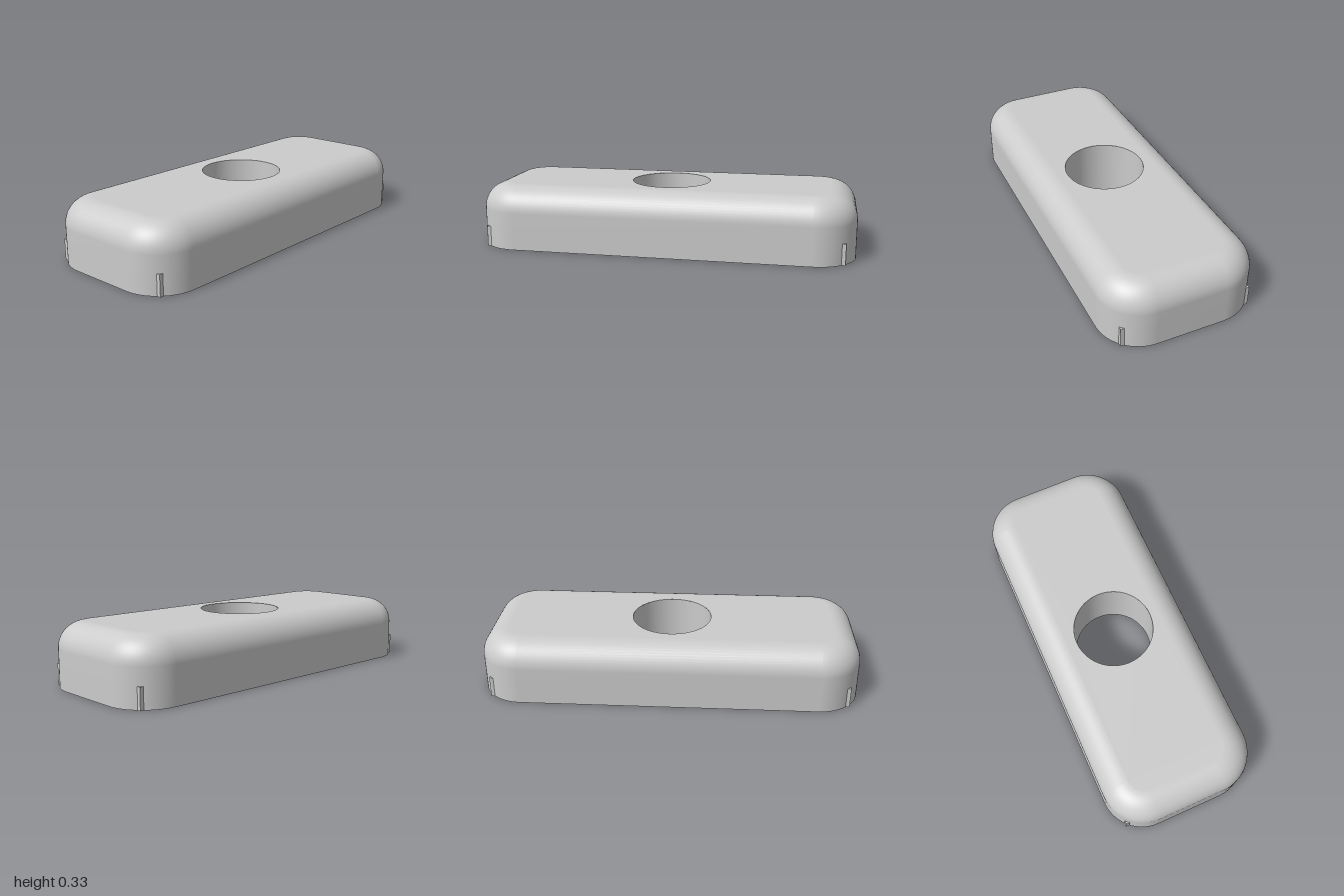
import * as THREE from 'three';
import { toCreasedNormals } from 'three/addons/utils/BufferGeometryUtils.js';

const W = 0.4, L = 1, H = 0.333;          // half width, half length, height
const R = 0.22, F = 0.135;                // corner radius, top edge fillet
const PX = 0.345, PZ = 0.945, PH = 0.11;  // base plate half sizes and height
const BORE = 0.212, PIN = 0.077, PIN_Z = 0.6;
const CX = W - R, CZ = L - R;             // corner arc centres

// Rounded rectangle outline, moved inward by the given inset
function outline(inset, steps = 16) {
  const pts = [];
  [[1, 1], [-1, 1], [-1, -1], [1, -1]].forEach(([sx, sz], q) => {
    for (let i = 0; i <= steps; i++) {
      const a = (q + i / steps) * Math.PI / 2;
      pts.push(new THREE.Vector2(sx * CX + (R - inset) * Math.cos(a), sz * CZ + (R - inset) * Math.sin(a)));
    }
  });
  return pts;
}

const circle = (r, y = 0) => new THREE.Path().absarc(0, y, r, 0, Math.PI * 2, true);

// Side wall and rounded top edge, lofted through stacked outlines
function shellGeometry() {
  const levels = [[0, 0], [0, 0.1]];
  const n = 14;
  for (let i = 0; i <= n; i++) {
    const a = i / n * Math.PI / 2;
    levels.push([F * (1 - Math.cos(a)), H - F + F * Math.sin(a)]);
  }
  const pos = [], idx = [];
  let count = 0;
  levels.forEach(([inset, y], j) => {
    const ring = outline(inset);
    count = ring.length;
    ring.forEach((p, i) => {
      pos.push(p.x, y, p.y);
      if (j === levels.length - 1) return;
      const a = j * count + i, b = j * count + (i + 1) % count;
      idx.push(a, a + count, b, b, a + count, b + count);
    });
  });
  const g = new THREE.BufferGeometry();
  g.setAttribute('position', new THREE.Float32BufferAttribute(pos, 3));
  g.setIndex(idx);
  g.computeVertexNormals();
  return g;
}

export function createModel() {
  const model = new THREE.Group();
  model.name = 'roundedBlock';
  const grey = new THREE.MeshStandardMaterial({ color: 0xcccccc });
  const open = new THREE.MeshStandardMaterial({ color: 0xcccccc, side: THREE.DoubleSide });
  const add = (name, geometry, material = grey) => {
    const mesh = new THREE.Mesh(geometry, material);
    mesh.name = name;
    model.add(mesh);
    return mesh;
  };

  add('bodyShell', shellGeometry());

  // Flat top with the central opening
  const top = new THREE.Shape(outline(F));
  top.holes.push(circle(BORE));
  add('topFace', new THREE.ShapeGeometry(top, 64).rotateX(-Math.PI / 2)).position.y = H;

  // Wall of the central opening above the plate
  add('centreBore', new THREE.CylinderGeometry(BORE, BORE, H - PH, 64, 1, true), open)
    .position.y = (H + PH) / 2;

  // Square-cornered base plate, its corners showing through the rounded walls
  const plate = new THREE.Shape([[-PX, -PZ], [PX, -PZ], [PX, PZ], [-PX, PZ]].map(p => new THREE.Vector2(...p)));
  plate.holes.push(circle(BORE), circle(PIN, PIN_Z), circle(PIN, -PIN_Z));
  const plateGeo = new THREE.ExtrudeGeometry(plate, { depth: PH, bevelEnabled: false, curveSegments: 64 });
  add('basePlate', toCreasedNormals(plateGeo.rotateX(-Math.PI / 2), 0.5));

  // Closed ends of the two blind holes
  for (const s of [1, -1]) {
    add('blindHoleEnd', new THREE.CircleGeometry(PIN, 48).rotateX(Math.PI / 2)).position.set(0, PH, s * PIN_Z);
  }

  // Underside rim between the plate and the outer wall
  const t = Math.acos((PX - CX) / R), q = Math.PI / 2;
  const sideRim = new THREE.Shape().absarc(CX, -CZ, R, -t, 0, false).absarc(CX, CZ, R, 0, t, false);
  const endRim = new THREE.Shape().absarc(CX, CZ, R, q - t, q, false).absarc(-CX, CZ, R, q, q + t, false);
  for (const turn of [0, Math.PI]) {
    add('sideRim', new THREE.ShapeGeometry(sideRim, 16).rotateX(q)).rotation.y = turn;
    add('endRim', new THREE.ShapeGeometry(endRim, 16).rotateX(q)).rotation.y = turn;
  }

  return model;
}
